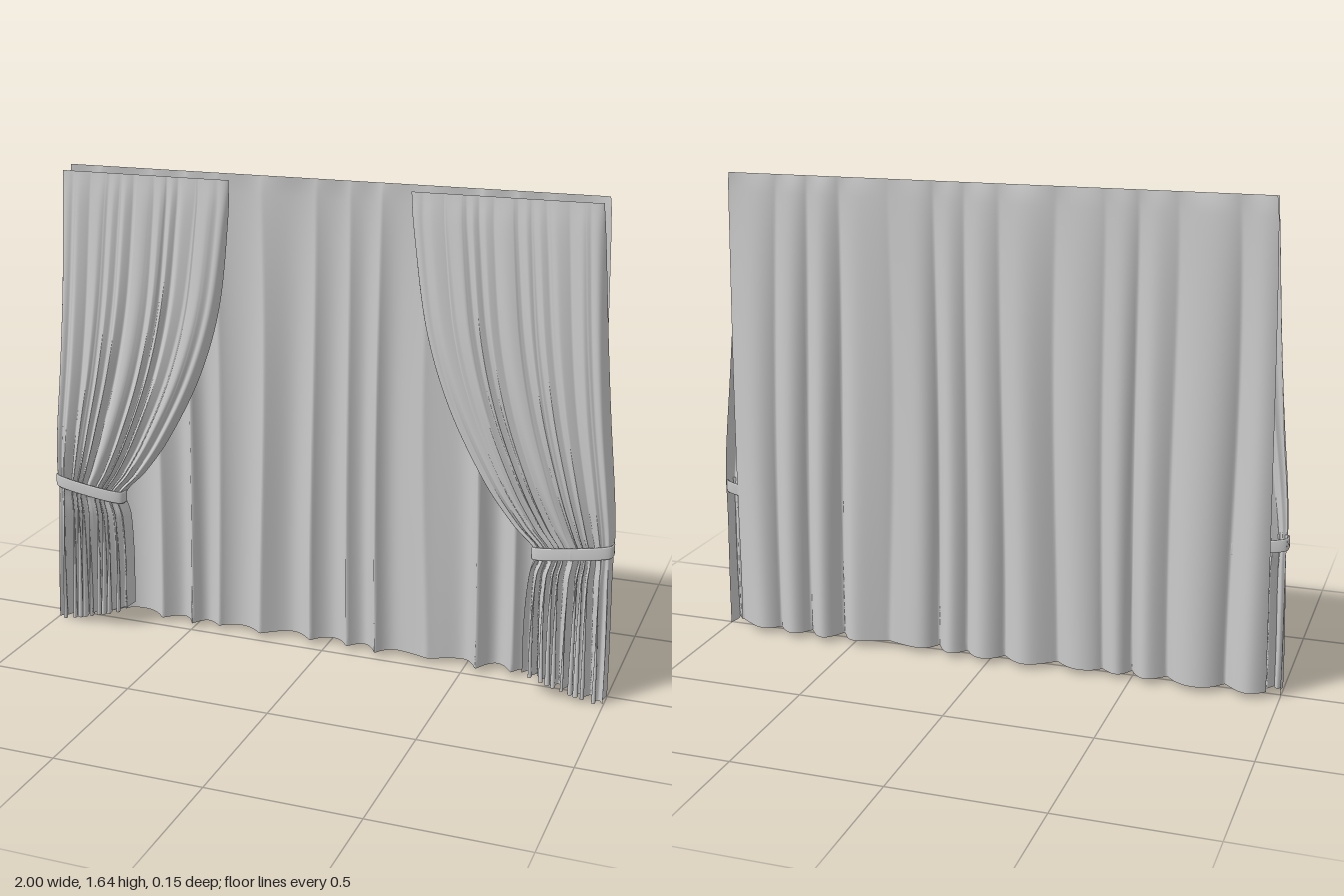
import * as THREE from 'three';

const material = new THREE.MeshStandardMaterial({ color: 0xcccccc, side: THREE.DoubleSide });
const clamp = THREE.MathUtils.clamp;

// Cloth sheet: a grid whose vertices are placed by place(u, v), u across, v from top down
function cloth(name, columns, rows, place) {
  const geometry = new THREE.PlaneGeometry(1, 1, columns, rows);
  const pos = geometry.attributes.position;
  for (let i = 0; i < pos.count; i++) {
    pos.setXYZ(i, ...place(pos.getX(i) + 0.5, 0.5 - pos.getY(i)));
  }
  geometry.computeVertexNormals();
  const mesh = new THREE.Mesh(geometry, material);
  mesh.name = name;
  return mesh;
}

// Wide rounded lobes parted by narrow creases: 0 in a crease, 1 on a lobe
const lobe = (phase) => Math.pow(Math.sin(phase * Math.PI) ** 2 + 0.004, 0.4);

// Long flat curtain at the back, straight at the top and fluted further down
function backCurtain() {
  return cloth('backCurtain', 320, 50, (u, v) => {
    const drop = Math.pow(v, 0.5);
    const half = 0.92 + 0.035 * drop;
    const x = (u * 2 - 1) * half + 0.006 * drop * Math.sin(u * 37);
    const phase = u * 13 + 0.22 * Math.sin(u * 21 + 1) + 0.06 * Math.sin(v * 4 + u * 9);
    const crease = 0.65 + 0.35 * Math.sin(u * 33 + 0.6);
    const f = lobe(phase);
    const back = 0.03 + 0.01 * Math.sin(u * 17);
    const z = -0.035 - drop * (back * f - 0.034 * crease * (1 - f));
    return [x, 1.64 - 1.62 * v, z];
  });
}

// Drape cross-sections from top to hem: y, inner edge, outer edge, half depth, centre z, fold depth
const sections = [
  [1.63, 0.31, 0.915, 0.003, 0.035, 0.003],
  [1.5, 0.318, 0.925, 0.013, 0.035, 0.011],
  [1.2, 0.36, 0.945, 0.025, 0.035, 0.018],
  [0.95, 0.44, 0.965, 0.031, 0.034, 0.022],
  [0.72, 0.56, 0.987, 0.032, 0.031, 0.024],
  [0.58, 0.66, 0.996, 0.029, 0.024, 0.024],
  [0.49, 0.742, 0.994, 0.027, 0.018, 0.022],
  [0.41, 0.726, 0.994, 0.03, 0.022, 0.032],
  [0.28, 0.72, 0.996, 0.035, 0.027, 0.05],
  [0.14, 0.72, 0.998, 0.039, 0.031, 0.062],
  [0.0, 0.724, 0.998, 0.043, 0.034, 0.072],
];
const spline = (k) => new THREE.CatmullRomCurve3(
  sections.map((s) => new THREE.Vector3(s[k], s[k + 1], s[k + 2])), false, 'catmullrom');
const outline = spline(0);
const body = spline(3);

// Front drape gathered to one side; its two edges curl towards the back
function drape(side) {
  const folds = 11, curl = 0.07;
  return cloth('drape', 264, 90, (t, v) => {
    const { x: y, y: inner, z: outer } = outline.getPoint(v);
    const { x: half, y: zc, z: depth } = body.getPoint(v);
    const edge = Math.max(0, curl - t, t - 1 + curl) / curl;
    const angle = edge * Math.PI / 2;
    // the ends follow a quarter ellipse, the rest stays flat
    let u = t;
    if (t < curl) u = curl * (1 - Math.sin(angle));
    if (t > 1 - curl) u = 1 - curl * (1 - Math.sin(angle));
    const phase = t * folds + 0.25 * Math.sin(t * 19) + 0.08 * Math.sin(v * 6 + t * 13);
    const f = lobe(phase);
    const fade = 1 - edge;
    const vary = 0.8 + 0.2 * Math.sin(Math.floor(t * folds) * 2.4);
    const front = zc - half + 2 * half * Math.cos(angle);
    const z = front - depth * (1 - f) * vary * fade;
    const sway = depth * 0.18 * Math.sin(phase * 2 * Math.PI) * fade;
    // hem rises towards the inner edge
    const hem = 0.07 * Math.pow(1 - u, 1.3) * clamp(1 - y / 0.4, 0, 1);
    return [side * (inner + (outer - inner) * u + sway), y + hem, z];
  });
}

// Flat tieback strap wrapped round the gathered drape, sloping down to the inner edge
function tieback(side) {
  const r = 0.127, h = 0.021;
  const profile = [[r, -h], [r + 0.004, -h], [r + 0.006, -h + 0.004], [r + 0.006, h - 0.004],
    [r + 0.004, h], [r, h], [r, -h]].map(([x, y]) => new THREE.Vector2(x, y));
  const geometry = new THREE.LatheGeometry(profile, 64);
  const pos = geometry.attributes.position;
  for (let i = 0; i < pos.count; i++) {
    const x = pos.getX(i), z = pos.getZ(i);
    const radius = Math.hypot(x, z);
    const s = z / radius;
    pos.setXYZ(i, side * (0.867 + x), 0.502 + pos.getY(i) + x * 0.15,
      0.018 + Math.sign(s) * Math.sqrt(Math.abs(s)) * (0.034 + (radius - r)));
  }
  geometry.computeVertexNormals();
  const mesh = new THREE.Mesh(geometry, material);
  mesh.name = 'tieback';
  return mesh;
}

export function createModel() {
  const model = new THREE.Group();
  model.name = 'curtains';
  model.add(backCurtain());
  for (const side of [1, -1]) {
    const group = new THREE.Group();
    group.name = side > 0 ? 'leftDrape' : 'rightDrape';
    group.add(drape(side), tieback(side));
    model.add(group);
  }
  return model;
}
